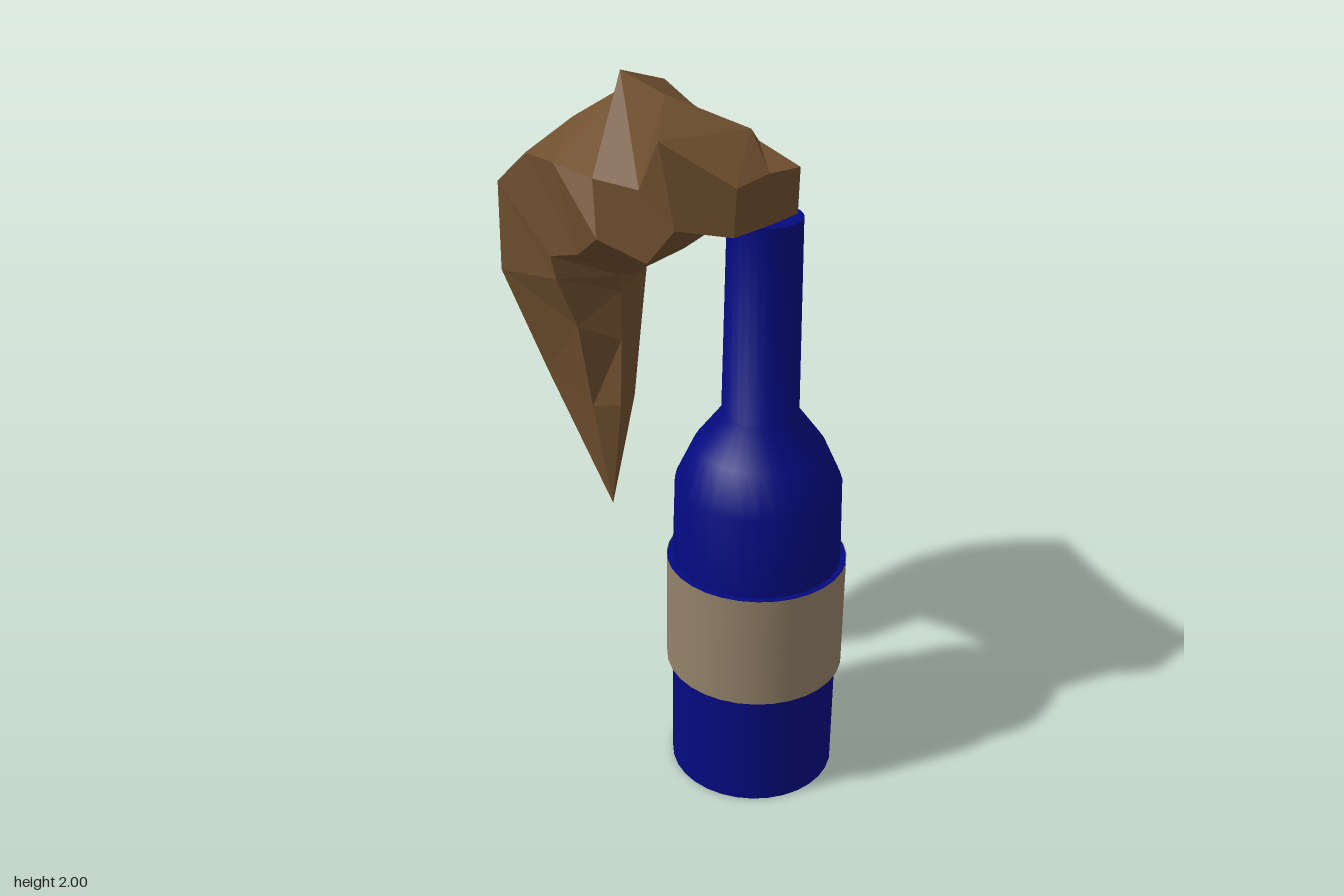
import * as THREE from 'three';
import { toCreasedNormals } from 'three/addons/utils/BufferGeometryUtils.js';

const BLUE = 0x040a80, TAN = 0x94826a, BROWN = 0x70502f;
const BOTTLE = [0.28, 0, 0.085];

function addMesh(group, name, geometry, material) {
  const mesh = new THREE.Mesh(geometry, material);
  mesh.name = name;
  group.add(mesh);
  return mesh;
}

// Joins six-sided cross-sections into a faceted skin, capped at the start and pointed at the end
function loftToTip(rings, tip) {
  const pos = [];
  const face = (...corners) => corners.forEach((c) => pos.push(...c));
  const n = rings[0].length;
  const centre = [0, 1, 2].map((k) => rings[0].reduce((s, p) => s + p[k], 0) / n);
  const last = rings.length - 1;
  for (let j = 0; j < n; j++) {
    const k = (j + 1) % n;
    face(centre, rings[0][k], rings[0][j]);
    for (let i = 0; i < last; i++) {
      const a = rings[i], b = rings[i + 1];
      face(a[j], a[k], b[k]);
      face(a[j], b[k], b[j]);
    }
    face(rings[last][j], rings[last][k], tip);
  }
  const geometry = new THREE.BufferGeometry();
  geometry.setAttribute('position', new THREE.Float32BufferAttribute(pos, 3));
  geometry.computeVertexNormals();
  return geometry;
}

export function createModel() {
  const model = new THREE.Group();
  model.name = 'bottleWithCloth';

  // Bottle: straight body with a raised band, sloping shoulder and long neck
  const bottle = new THREE.Group();
  bottle.name = 'bottle';
  bottle.position.set(...BOTTLE);
  model.add(bottle);
  const profile = [
    [0, 0], [0.236, 0], [0.236, 0.35], [0.251, 0.35], [0.251, 0.69], [0.236, 0.69],
    [0.23, 0.93], [0.18, 1.04], [0.105, 1.14], [0.098, 1.69], [0, 1.69],
  ].map(([r, y]) => new THREE.Vector2(r, y));
  addMesh(bottle, 'glass', toCreasedNormals(new THREE.LatheGeometry(profile, 32), 0.7),
    new THREE.MeshStandardMaterial({ color: BLUE }));

  // Label wrapped round the raised band
  const label = addMesh(bottle, 'label', new THREE.CylinderGeometry(0.253, 0.253, 0.34, 32, 1, true),
    new THREE.MeshStandardMaterial({ color: TAN, side: THREE.DoubleSide }));
  label.position.y = 0.52;

  // Cloth sections, each: front top, top, back top, back bottom, bottom, front bottom.
  // The hump over the bottle mouth
  const hump = [
    [[0.28, 1.82, 0.28], [0.32, 1.83, 0.17], [0.36, 1.82, 0.06], [0.35, 1.69, 0.04], [0.32, 1.69, 0.14], [0.27, 1.69, 0.27]],
    [[0.1, 1.93, 0.34], [0.25, 1.92, 0.12], [0.22, 1.85, -0.01], [0.22, 1.69, -0.01], [0.16, 1.69, 0.14], [0.13, 1.7, 0.31]],
    [[0.02, 1.78, 0.28], [0.05, 2.0, 0.19], [0.11, 1.86, -0.06], [0.1, 1.7, -0.05], [0.07, 1.58, 0.12], [0.03, 1.58, 0.26]],
    [[-0.14, 1.77, 0.22], [-0.17, 1.99, -0.01], [-0.05, 1.86, -0.21], [-0.02, 1.58, -0.11], [-0.1, 1.47, 0.1], [-0.08, 1.65, 0.32]],
  ];
  // The shelf behind it and the narrowing drape
  const drape = [
    [[-0.29, 1.77, 0.15], [-0.22, 1.91, -0.17], [-0.2, 1.88, -0.35], [-0.14, 1.46, -0.18], [-0.16, 1.46, 0.03], [-0.22, 1.53, 0.16]],
    [[-0.4, 1.77, 0.1], [-0.36, 1.82, -0.1], [-0.31, 1.82, -0.32], [-0.16, 1.42, -0.2], [-0.18, 1.42, 0.0], [-0.32, 1.5, 0.13]],
    [[-0.52, 1.66, 0.05], [-0.47, 1.67, -0.12], [-0.4, 1.68, -0.29], [-0.18, 1.38, -0.18], [-0.19, 1.36, -0.03], [-0.31, 1.43, 0.12]],
    [[-0.535, 1.39, 0.03], [-0.49, 1.39, -0.1], [-0.39, 1.4, -0.29], [-0.18, 1.22, -0.14], [-0.18, 1.22, -0.01], [-0.27, 1.28, 0.08]],
    [[-0.42, 1.08, -0.01], [-0.38, 1.04, -0.06], [-0.3, 0.99, -0.12], [-0.19, 1.0, -0.11], [-0.17, 1.03, 0.02], [-0.25, 1.02, 0.04]],
  ];
  addMesh(model, 'cloth', loftToTip([...hump, ...drape], [-0.21, 0.69, 0.005]),
    new THREE.MeshStandardMaterial({ color: BROWN, flatShading: true, side: THREE.DoubleSide }));

  return model;
}
